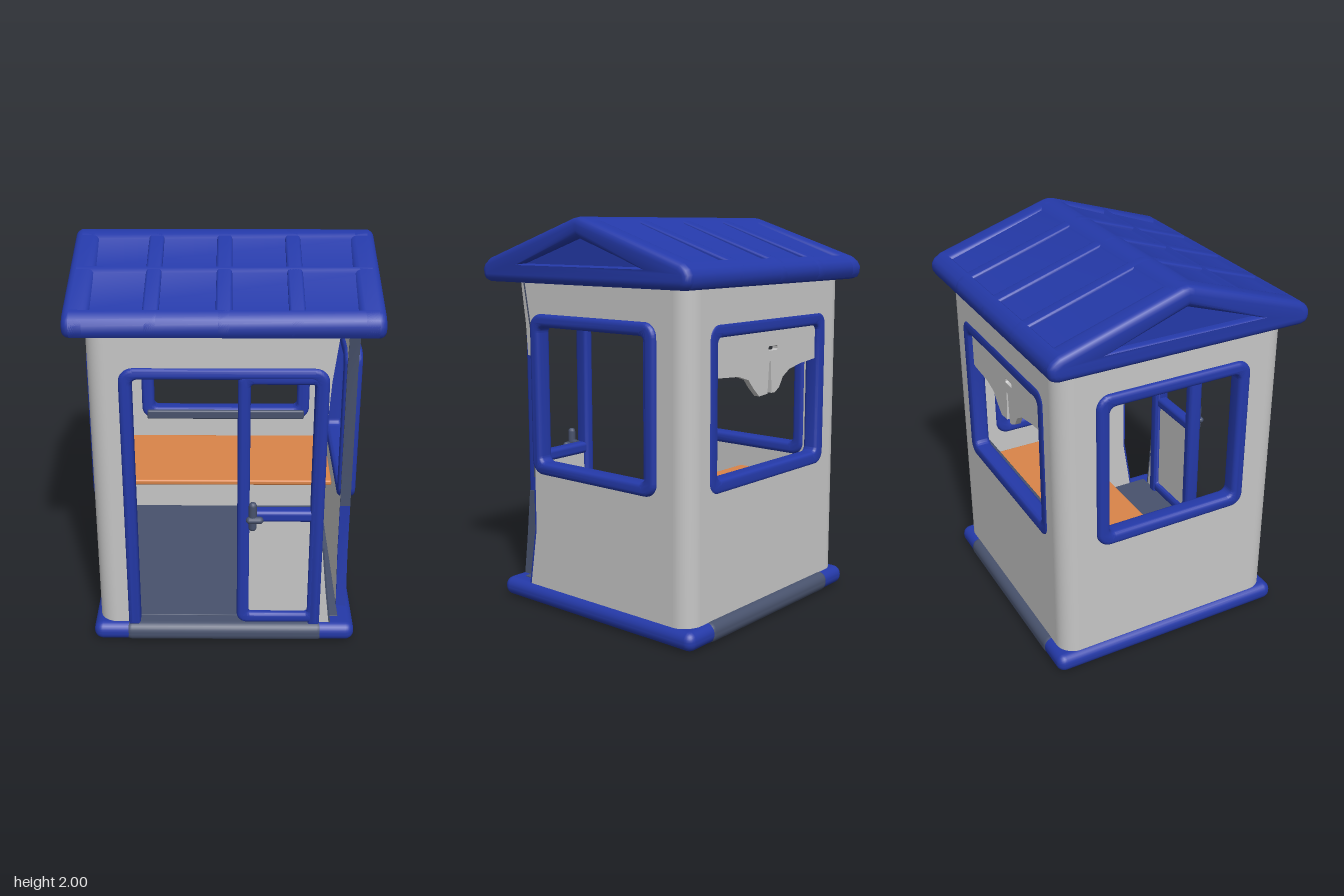
import * as THREE from 'three';
import { toCreasedNormals } from 'three/addons/utils/BufferGeometryUtils.js';
import { RoundedBoxGeometry } from 'three/addons/geometries/RoundedBoxGeometry.js';

const mat = (name, color) => {
  const m = new THREE.MeshStandardMaterial({ color });
  m.name = name;
  return m;
};

// Polygon outline from [u, y] pairs
const poly = (pts) => new THREE.Shape(pts.map(([u, y]) => new THREE.Vector2(u, y)));

// Rounded rectangle between two corners
function roundRect(u0, y0, u1, y1, r, Type = THREE.Shape) {
  const s = new Type();
  s.moveTo(u0 + r, y0);
  s.lineTo(u1 - r, y0);
  s.absarc(u1 - r, y0 + r, r, -Math.PI / 2, 0, false);
  s.lineTo(u1, y1 - r);
  s.absarc(u1 - r, y1 - r, r, 0, Math.PI / 2, false);
  s.lineTo(u0 + r, y1);
  s.absarc(u0 + r, y1 - r, r, Math.PI / 2, Math.PI, false);
  s.lineTo(u0, y0 + r);
  s.absarc(u0 + r, y0 + r, r, Math.PI, Math.PI * 1.5, false);
  return s;
}

function ringShape(u0, y0, u1, y1, r, t) {
  const s = roundRect(u0, y0, u1, y1, r);
  s.holes.push(roundRect(u0 + t, y0 + t, u1 - t, y1 - t, Math.max(r - t * 0.6, 0.015), THREE.Path));
  return s;
}

// Extrusion of total thickness d, centred on its depth, bevel kept inside the outline
function slab(shape, d, bevel = 0) {
  const g = new THREE.ExtrudeGeometry(shape, {
    depth: d - 2 * bevel, curveSegments: 8, bevelEnabled: bevel > 0,
    bevelThickness: bevel, bevelSize: bevel, bevelOffset: -bevel, bevelSegments: 4,
  });
  g.translate(0, 0, -(d - 2 * bevel) / 2);
  return toCreasedNormals(g, 0.7);
}

// Same, with the outline in the z-y plane and thickness along x
const sideSlab = (shape, d, bevel) => slab(shape, d, bevel).rotateY(-Math.PI / 2);

export function createModel() {
  const model = new THREE.Group();
  model.name = 'booth';
  const blue = mat('blue trim', 0x2439a8);
  const grey = mat('light grey wall', 0xc6c6c6);
  const slate = mat('slate', 0x48526c);
  const orange = mat('orange shelf', 0xd98449);

  const add = (name, geo, material, x = 0, y = 0, z = 0, parent = model) => {
    const m = new THREE.Mesh(geo, material);
    m.name = name;
    m.position.set(x, y, z);
    parent.add(m);
    return m;
  };
  const box = (name, material, x0, x1, y0, y1, z0, z1, r = 0.004) =>
    add(name, new RoundedBoxGeometry(x1 - x0, y1 - y0, z1 - z0, 3, r), material,
      (x0 + x1) / 2, (y0 + y1) / 2, (z0 + z1) / 2);

  // Base with slate thresholds, floor and underside
  box('base', blue, -0.67, 0.67, 0.003, 0.1, -0.65, 0.65, 0.045);
  box('threshold', slate, -0.52, 0.52, 0, 0.102, -0.653, 0.653, 0.045);
  box('floor', slate, -0.59, 0.59, 0.098, 0.105, -0.56, 0.56, 0.003);
  box('underside', slate, -0.625, 0.625, 0, 0.007, -0.605, 0.605, 0.003);

  const Y0 = 0.09, Y1 = 1.7, T = 0.05, R = 0.09;
  const X = 0.64, Z = 0.61;

  // Side walls; the +x wall stops short of the open front corner
  const edge = [[0.46, Y0], [0.41, 0.4], [0.41, 1.42], [0.46, Y1]];
  const sideOutlines = {
    '1': [[-0.52, Y0], ...edge, [-0.52, Y1]],
    '-1': [[-0.52, Y0], [0.52, Y0], [0.52, Y1], [-0.52, Y1]],
  };
  for (const s of [1, -1]) {
    const wall = poly(sideOutlines[s]);
    wall.holes.push(roundRect(-0.39, 0.74, 0.38, 1.49, 0.05, THREE.Path));
    add('sideWall', sideSlab(wall, T), grey, s * (X - T / 2));
    add('sideWindowFrame', sideSlab(ringShape(-0.42, 0.705, 0.41, 1.525, 0.07, 0.065), 0.09, 0.022),
      blue, s * 0.62);
  }

  // Trim on the edge of the shortened side wall
  const strip = (pts) => poly([...pts, ...pts.map(([u, y]) => [u + 0.009, y]).reverse()].reverse());
  add('lowerCornerTrim', sideSlab(strip([[0.46, Y0], [0.41, 0.4], [0.41, 0.68]]), 0.052), blue, X - T / 2);
  add('upperCornerTrim', sideSlab(strip([[0.41, 0.68], [0.41, 1.42], [0.46, Y1]]), 0.052), slate, X - T / 2);

  // Back wall, window frame and inner sill
  const back = poly([[-0.55, Y0], [0.55, Y0], [0.55, Y1], [-0.55, Y1]]);
  back.holes.push(roundRect(-0.46, 0.74, 0.46, 1.49, 0.05, THREE.Path));
  add('backWall', slab(back, T), grey, 0, 0, -Z + T / 2);
  add('backWindowFrame', slab(ringShape(-0.49, 0.71, 0.49, 1.52, 0.07, 0.07), 0.085, 0.02), blue, 0, 0, -0.572);
  box('backSill', slate, -0.46, 0.46, 0.715, 0.77, -0.54, -0.515, 0.01);

  // Hanging panel in the top of the back window
  const valance = poly([
    [-0.46, 1.5], [-0.46, 1.28], [-0.3, 1.265], [-0.19, 1.245], [-0.13, 1.21], [-0.1, 1.16], [-0.06, 1.14],
    [-0.035, 1.14], [-0.025, 1.3], [-0.012, 1.3], [0, 1.14], [0.07, 1.135], [0.12, 1.18],
    [0.16, 1.225], [0.24, 1.25], [0.4, 1.26], [0.46, 1.28], [0.46, 1.5],
  ].reverse());
  valance.holes.push(roundRect(-0.08, 1.352, -0.005, 1.375, 0.008, THREE.Path));
  add('hangingPanel', slab(valance, 0.03), grey, 0, 0, -0.575);
  box('hangingBracket', grey, -0.005, 0.07, 1.15, 1.37, -0.565, -0.53, 0.012);

  // Front wall around the doorway, with a ragged right end
  add('frontWall', slab(poly([
    [-0.55, Y0], [-0.46, Y0], [-0.46, 1.49], [0.46, 1.49], [0.46, Y0], [0.54, Y0],
    [0.515, 0.3], [0.49, 0.55], [0.485, 1.2], [0.5, 1.45], [0.53, Y1], [-0.55, Y1],
  ]), T), grey, 0, 0, Z - T / 2);
  add('frontEndTrim', slab(strip([[0.54, Y0], [0.515, 0.3], [0.49, 0.55]]), 0.052), slate, 0, 0, Z - T / 2);

  // Three rounded corner posts
  for (const [sx, sz] of [[-1, 1], [-1, -1], [1, -1]]) {
    const arc = new THREE.Shape();
    arc.absarc(0, 0, R, 0, Math.PI / 2, false);
    arc.absarc(0, 0, R - T, Math.PI / 2, 0, true);
    const g = slab(arc, Y1 - Y0).rotateX(Math.PI / 2);
    const post = add('cornerPost', g, grey, sx * (X - R), (Y0 + Y1) / 2, sz * (Z - R));
    post.rotation.y = sx > 0 ? Math.PI / 2 : sz > 0 ? -Math.PI / 2 : Math.PI;
  }

  // Doorway frame
  const U = roundRect(-0.49, 0.0, 0.49, 1.52, 0.07);
  const jamb = new THREE.Shape();
  jamb.moveTo(-0.49, Y0);
  jamb.lineTo(-0.43, Y0);
  jamb.lineTo(-0.43, 1.43);
  jamb.absarc(-0.4, 1.435, 0.03, Math.PI, Math.PI / 2, true);
  jamb.absarc(0.4, 1.435, 0.03, Math.PI / 2, 0, true);
  jamb.lineTo(0.43, Y0);
  jamb.lineTo(0.49, Y0);
  jamb.absarc(0.42, 1.45, 0.07, 0, Math.PI / 2, false);
  jamb.absarc(-0.42, 1.45, 0.07, Math.PI / 2, Math.PI, false);
  add('doorwayFrame', slab(jamb, 0.09, 0.02), blue, 0, 0, 0.585);

  // Half door leaf: frame, rail, lower panel and handle
  add('doorFrame', slab(ringShape(0.065, 0.105, 0.485, 1.5, 0.05, 0.06), 0.08, 0.02), blue, 0, 0, 0.588);
  box('doorRail', blue, 0.1, 0.45, 0.7, 0.762, 0.555, 0.62, 0.02);
  box('doorPanel', grey, 0.11, 0.45, 0.13, 0.72, 0.57, 0.6);
  const handle = new THREE.Group();
  handle.name = 'doorHandle';
  handle.position.set(0.14, 0.755, 0.65);
  model.add(handle);
  add('handleGrip', new THREE.CapsuleGeometry(0.02, 0.12, 4, 12), slate, 0, 0, 0, handle);
  add('handleLever', new THREE.CapsuleGeometry(0.018, 0.05, 4, 12).rotateZ(Math.PI / 2), slate, 0.01, -0.015, 0.01, handle);
  add('handleStem', new THREE.CylinderGeometry(0.016, 0.016, 0.05, 12).rotateX(Math.PI / 2), slate, 0, 0, -0.02, handle);

  // Shelf
  box('shelf', orange, -0.585, 0.585, 0.562, 0.592, -0.56, 0, 0.01);

  // Roof: notched core forms the panel recesses, full-profile ribs and ends stand proud
  const slopeY = (z) => 1.995 - (Math.abs(z) - 0.03) * 0.325;
  const eave = [[0.635, 1.68], [0.665, 1.69], [0.68, 1.715], [0.68, 1.75], [0.665, 1.775], [0.63, slopeY(0.63)]];
  const crown = [[0.03, 1.995], [0, 2], [-0.03, 1.995]];
  const eaveBack = eave.map(([z, y]) => [-z, y]).reverse();
  const recess = (a, b, d = 0.014) => [
    [a, slopeY(a)], [a + Math.sign(b - a) * 0.015, slopeY(a) - d],
    [b - Math.sign(b - a) * 0.015, slopeY(b) - d], [b, slopeY(b)],
  ];
  const full = () => poly([...eave, ...crown, ...eaveBack]);
  const core = poly([
    ...eave, ...recess(0.615, 0.32), ...recess(0.3, 0.055), ...crown, ...recess(-0.07, -0.615), ...eaveBack,
  ]);
  add('roofCore', sideSlab(core, 1.39), blue);
  for (const x of [-0.33, 0, 0.33]) add('roofRib', sideSlab(full(), 0.075, 0.012), blue, x);
  for (const s of [1, -1]) {
    const gable = full();
    gable.holes.push(poly([[-0.38, 1.775], [0, 1.9], [0.38, 1.775]]));
    add('gableEnd', sideSlab(gable, 0.13, 0.035), blue, s * 0.665);
  }
  return model;
}
